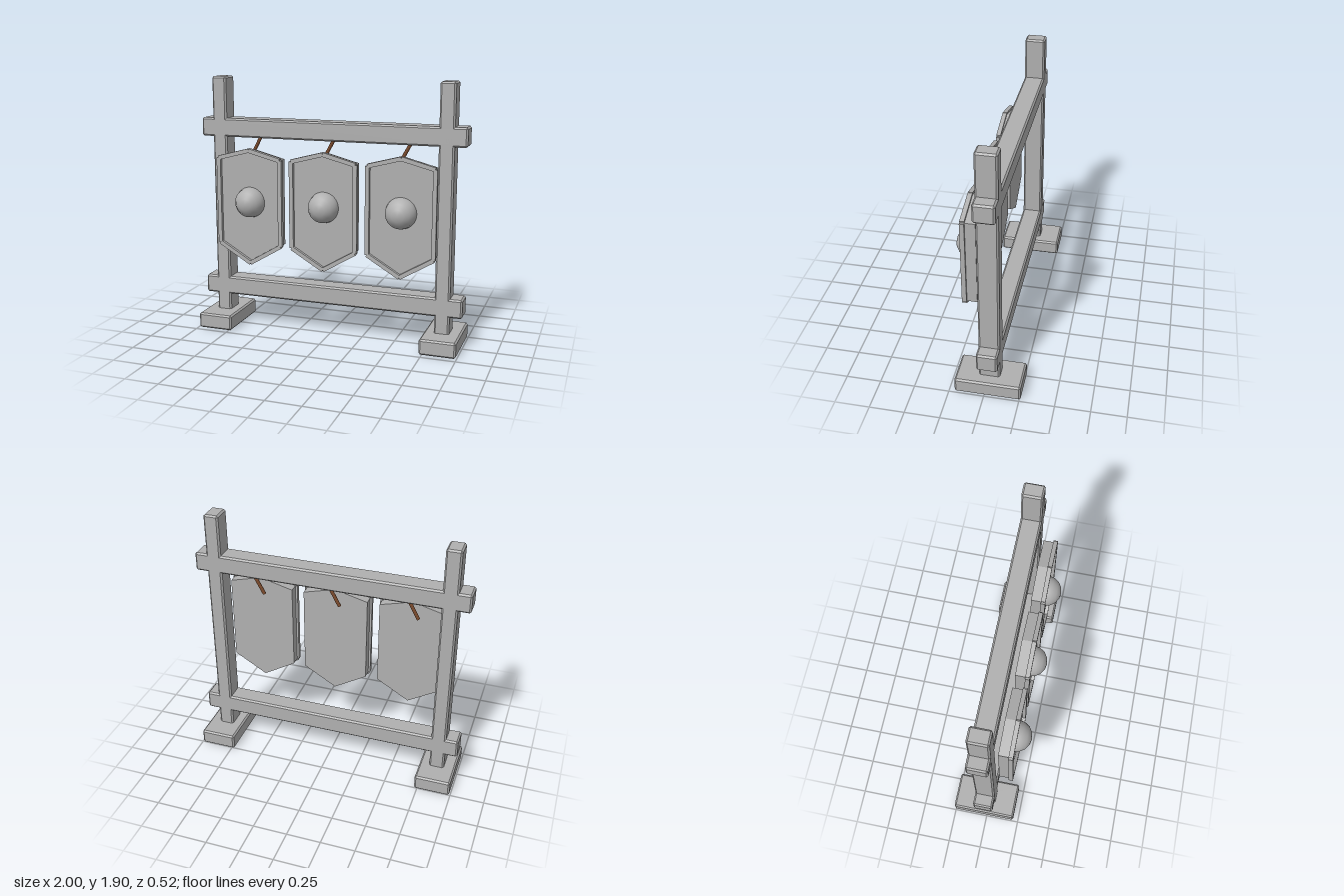
import * as THREE from 'three';
import { ConvexGeometry } from 'three/addons/geometries/ConvexGeometry.js';

const stone = new THREE.MeshStandardMaterial({ color: 0xb0b0b0 });
stone.name = 'grey';
const leather = new THREE.MeshStandardMaterial({ color: 0x7a4a2c });
leather.name = 'brown';

function add(parent, name, geometry, material, x = 0, y = 0, z = 0) {
  const mesh = new THREE.Mesh(geometry, material);
  mesh.name = name;
  mesh.position.set(x, y, z);
  parent.add(mesh);
  return mesh;
}

// Box with chamfered edges, as the hull of its 24 corner points
function chamferedBox(w, h, d, c = 0.012) {
  const points = [];
  for (const sx of [-1, 1]) for (const sy of [-1, 1]) for (const sz of [-1, 1]) {
    for (let axis = 0; axis < 3; axis++) {
      const p = [w / 2 - c, h / 2 - c, d / 2 - c];
      p[axis] += c;
      points.push(new THREE.Vector3(p[0] * sx, p[1] * sy, p[2] * sz));
    }
  }
  return new ConvexGeometry(points);
}

// Hexagonal shield outline, shared by the body and its rim
const outline = [
  [0, 1.385], [-0.24, 1.322], [-0.24, 0.685],
  [0, 0.542], [0.24, 0.685], [0.24, 1.322],
].map(([x, y]) => new THREE.Vector2(x, y));

function makeShield() {
  const shield = new THREE.Group();
  shield.name = 'shield';

  const body = new THREE.ExtrudeGeometry(new THREE.Shape(outline), { depth: 0.078, bevelEnabled: false });
  add(shield, 'shieldBody', body, stone, 0, 0, 0.073);

  // Rim of six straight bars
  outline.forEach((a, i) => {
    const b = outline[(i + 1) % outline.length];
    const bar = add(shield, 'rimBar', new THREE.BoxGeometry(a.distanceTo(b), 0.03, 0.032), stone,
      (a.x + b.x) / 2, (a.y + b.y) / 2, 0.16);
    bar.rotation.z = Math.atan2(b.y - a.y, b.x - a.x);
  });

  // Domed boss with its pole facing forward
  const dome = new THREE.SphereGeometry(0.113, 32, 4, 0, Math.PI * 2, 0, Math.PI / 2);
  dome.rotateX(Math.PI / 2);
  add(shield, 'boss', dome, stone, 0, 1.0, 0.15);

  // Slanted strap under the top rail
  const strap = add(shield, 'strap', new THREE.CylinderGeometry(0.013, 0.013, 0.27, 8), leather, 0, 1.43, -0.02);
  strap.rotation.z = -0.49;
  return shield;
}

export function createModel() {
  const model = new THREE.Group();
  model.name = 'shieldRack';
  const z = -0.024;

  // Posts and feet on both sides
  for (const side of [-1, 1]) {
    add(model, 'post', chamferedBox(0.11, 1.84, 0.148), stone, side * 0.855, 0.985, z);
    add(model, 'foot', chamferedBox(0.265, 0.115, 0.47), stone, side * 0.86, 0.0575, z);
  }

  // Top and bottom rails
  for (const y of [1.53, 0.308]) {
    add(model, 'rail', chamferedBox(2, 0.138, 0.148), stone, 0, y, z);
  }

  // Three hanging shields
  for (const x of [-0.57, 0, 0.57]) {
    const shield = makeShield();
    shield.position.x = x;
    model.add(shield);
  }
  return model;
}
